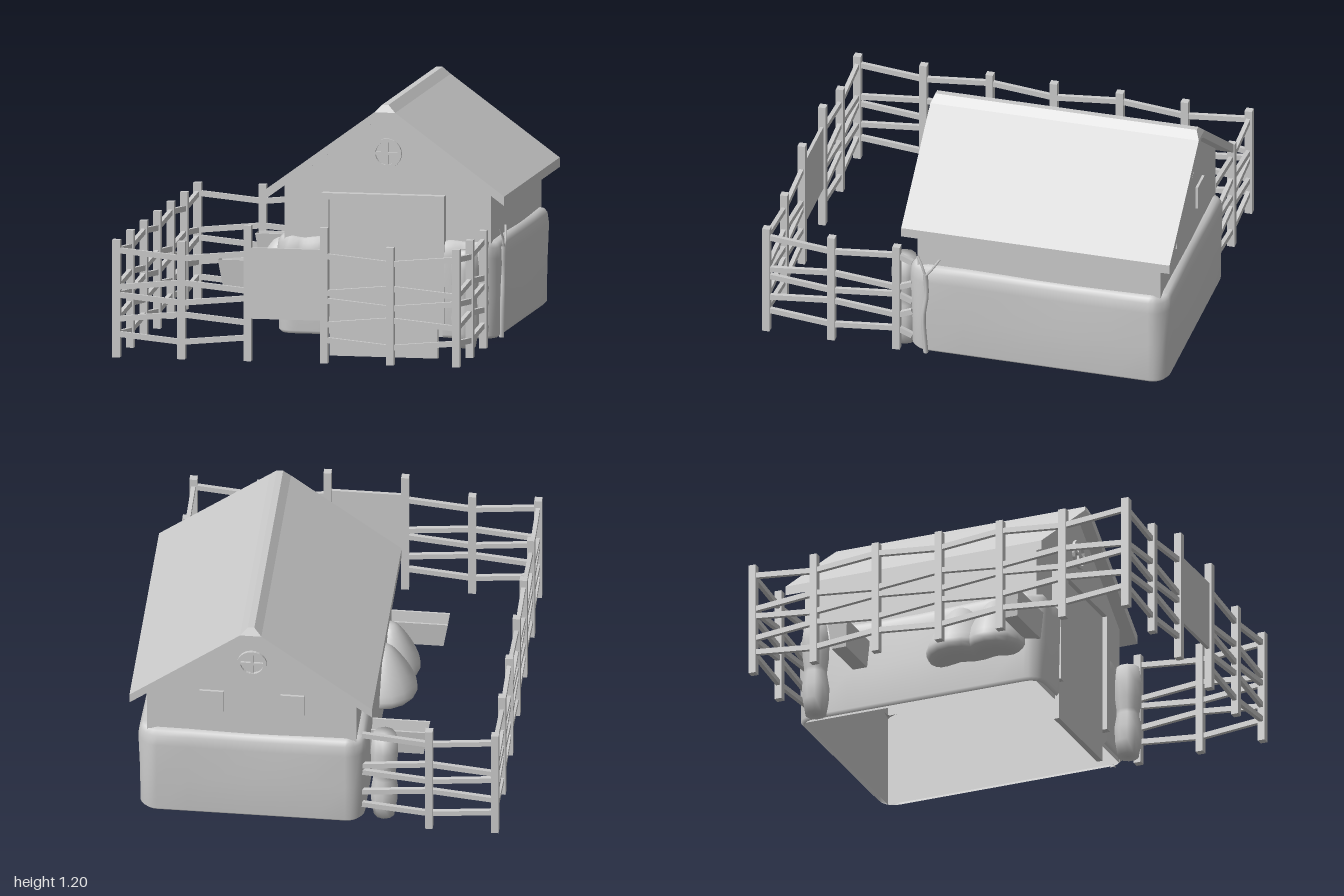
import * as THREE from 'three';

const grey = new THREE.MeshStandardMaterial({ color: 0xcccccc });
const shell = new THREE.MeshStandardMaterial({ color: 0xcccccc, side: THREE.DoubleSide });

export function createModel() {
  const model = new THREE.Group();
  const add = (name, geo, x = 0, y = 0, z = 0, parent = model, mat = grey) => {
    const m = new THREE.Mesh(geo, mat);
    m.name = name;
    m.position.set(x, y, z);
    parent.add(m);
    return m;
  };
  // box from its two extreme corners
  const box = (name, x0, x1, y0, y1, z0, z1, parent) =>
    add(name, new THREE.BoxGeometry(x1 - x0, y1 - y0, z1 - z0), (x0 + x1) / 2, (y0 + y1) / 2, (z0 + z1) / 2, parent);
  const group = (name) => {
    const g = new THREE.Group();
    g.name = name;
    model.add(g);
    return g;
  };
  const poly = (pts) => new THREE.Shape(pts.map(([x, y]) => new THREE.Vector2(x, y)));
  const mid = 0.29;

  // barn walls: open-bottomed shell
  const walls = group('barnWalls');
  const gable = new THREE.ShapeGeometry(poly([[-0.2, 0.1], [0.785, 0.1], [0.785, 0.8], [mid, 1.155], [-0.2, 0.8]]));
  add('frontGable', gable, 0, 0, 0.24, walls, shell);
  add('backGable', gable.clone().scale(-1, 1, 1).rotateY(Math.PI).scale(1, 1, 1), 0, 0, -0.935, walls, shell);
  for (const [name, x, turn] of [['leftWall', 0.785, 1], ['rightWall', -0.2, -1]])
    add(name, new THREE.PlaneGeometry(1.175, 0.7).rotateY(turn * Math.PI / 2), x, 0.45, -0.3475, walls, shell);

  // roof: chevron slab, ridge ends pulled in slightly
  const roofGeo = new THREE.ExtrudeGeometry(poly([
    [-0.28, 0.735], [mid - 0.03, 1.13], [mid, 1.145], [mid + 0.03, 1.13], [0.86, 0.735], [0.86, 0.78],
    [mid + 0.05, 1.16], [mid + 0.015, 1.195], [mid - 0.015, 1.195], [mid - 0.05, 1.16], [-0.28, 0.78]]),
    { depth: 1.3, bevelEnabled: false }).translate(0, 0, -1);
  const rp = roofGeo.attributes.position;
  for (let i = 0; i < rp.count; i++)
    if (rp.getY(i) > 1.18) rp.setZ(i, rp.getZ(i) > 0 ? 0.285 : -0.98);
  roofGeo.computeVertexNormals();
  add('roof', roofGeo);

  // rounded stone base wrapped round the walls, open at the door: [centre x, centre z, angle]
  const keys = [[0.56, 0.19, 0], [0.735, 0.19, 0], [0.735, 0.19, 1], [0.735, -0.885, 1], [0.735, -0.885, 2],
    [-0.15, -0.885, 2], [-0.15, -0.885, 3], [-0.15, 0.19, 3], [-0.15, 0.19, 4], [-0.01, 0.19, 4]];
  const profile = [[0.02, 0.1], [0.035, 0.115], [0.038, 0.3], [0.042, 0.48], [0.035, 0.53], [0.02, 0.55], [0, 0.555]];
  const pos = [], index = [], steps = 6, rows = profile.length;
  const columns = (keys.length - 1) * steps;
  for (let i = 0; i <= columns; i++) {
    const k = Math.min(Math.floor(i / steps), keys.length - 2);
    const t = i / steps - k;
    const [cx, cz, q] = keys[k].map((v, n) => v + (keys[k + 1][n] - v) * t);
    const a = q * Math.PI / 2;
    profile.forEach(([off, y], j) => {
      const wave = j > 2 ? Math.sin(i * 1.1) * 0.004 : 0;
      const r = 0.05 + off + (off > 0 ? wave : 0);
      pos.push(cx + Math.sin(a) * r, y + wave, cz + Math.cos(a) * r);
      if (i < columns && j < rows - 1) {
        const b = i * rows + j;
        index.push(b, b + rows, b + rows + 1, b, b + rows + 1, b + 1);
      }
    });
  }
  const baseGeo = new THREE.BufferGeometry();
  baseGeo.setAttribute('position', new THREE.Float32BufferAttribute(pos, 3));
  baseGeo.setIndex(index);
  baseGeo.computeVertexNormals();
  add('stoneBase', baseGeo, 0, 0, 0, model, shell);

  // door and its frame
  const door = group('door');
  box('doorPanel', 0.02, 0.535, 0, 0.74, 0.235, 0.262, door);
  box('frameRight', -0.015, 0.02, 0.185, 0.77, 0.235, 0.285, door);
  box('frameLeft', 0.535, 0.57, 0.16, 0.77, 0.235, 0.285, door);
  box('frameTop', 0.02, 0.535, 0.74, 0.77, 0.235, 0.285, door);

  // round gable windows: ring with cross bars
  for (const z of [0.242, -0.937]) {
    const w = group('roundWindow');
    w.position.set(mid, 0.96, z);
    const ring = new THREE.Shape().absarc(0, 0, 0.07, 0, Math.PI * 2);
    ring.holes.push(new THREE.Path().absarc(0, 0, 0.054, 0, Math.PI * 2, true));
    add('windowRing', new THREE.ExtrudeGeometry(ring, { depth: 0.024, bevelEnabled: false, curveSegments: 12 }), 0, 0, -0.012, w);
    box('windowBar', -0.055, 0.055, -0.006, 0.006, -0.009, 0.009, w);
    box('windowBar', -0.006, 0.006, -0.055, 0.055, -0.009, 0.009, w);
  }
  // square back windows
  for (const s of [-1, 1])
    box('backWindow', mid + s * 0.19 - 0.057, mid + s * 0.19 + 0.057, 0.675, 0.79, -0.947, -0.93);

  // fence: posts with tilted rails between them
  const fence = group('fence');
  const post = (x, z, top = 0.625) => box('fencePost', x - 0.018, x + 0.018, 0.07, top, z - 0.018, z + 0.018, fence);
  const railHeights = [0.56, 0.415, 0.35, 0.265, 0.165];
  let section = 0;
  const rails = ([x0, z0], [x1, z1]) => {
    const len = Math.hypot(x1 - x0, z1 - z0);
    const flip = section++ % 2 ? -1 : 1;
    railHeights.forEach((y, i) => {
      const tilt = flip * (i % 2 ? 0.03 : -0.03);
      const rail = add('fenceRail', new THREE.BoxGeometry(Math.hypot(len, tilt), 0.026, 0.02),
        (x0 + x1) / 2, y, (z0 + z1) / 2, fence);
      rail.rotation.order = 'YZX';
      rail.rotation.y = Math.atan2(z0 - z1, x1 - x0);
      rail.rotation.z = Math.atan2(tilt, len);
    });
  };
  const runs = [
    [[-0.225, -0.92], [-0.54, -0.92], [-0.85, -0.92], [-0.85, -0.61], [-0.85, -0.295], [-0.85, 0.025],
      [-0.85, 0.335], [-0.85, 0.655], [-0.85, 0.975], [-0.54, 0.975], [-0.225, 0.975]],
    [[0.14, 0.975], [0.455, 0.975], [0.77, 0.975], [0.77, 0.66], [0.77, 0.345], [0.77, 0.27]]];
  for (const run of runs)
    run.forEach((p, i) => {
      const atWall = (p[0] === -0.225 && p[1] < 0) || p[1] === 0.27;
      const atGate = p[1] > 0.9 && (p[0] === -0.225 || p[0] === 0.14);
      if (!atWall) post(p[0], p[1], atGate ? 0.71 : 0.625);
      if (i) rails(run[i - 1], p);
    });
  box('gate', -0.207, 0.122, 0.27, 0.605, 0.967, 0.983);

  // stacked barrels
  const barrel = [[0, 0.07], [0.05, 0.07], [0.062, 0.14], [0.066, 0.21], [0.055, 0.28], [0.055, 0.3],
    [0.063, 0.36], [0.066, 0.44], [0.055, 0.525], [0, 0.525]].map(([r, y]) => new THREE.Vector2(r, y));
  for (const [x, z] of [[-0.32, -0.83], [0.68, 0.33]])
    add('barrel', new THREE.LatheGeometry(barrel, 10), x, 0, z);

  // feeding troughs: flared open boxes on the wall
  for (const z of [-0.64, 0.23]) {
    const geo = new THREE.ExtrudeGeometry(
      poly([[-0.05, 0.44], [-0.036, 0.31], [0.036, 0.31], [0.05, 0.44], [0.041, 0.44], [0.028, 0.325], [-0.028, 0.325], [-0.041, 0.44]]),
      { depth: 0.3, bevelEnabled: false }).rotateY(Math.PI / 2);
    const p = geo.attributes.position;
    for (let i = 0; i < p.count; i++)
      if (p.getX(i) < 0.1 && p.getY(i) < 0.4) p.setX(i, 0.022);
    geo.computeVertexNormals();
    const trough = group('trough');
    trough.position.set(-0.51, 0, z);
    add('troughBody', geo, 0, 0, 0, trough);
    const end = add('troughEnd', new THREE.ShapeGeometry(poly([[-0.05, 0.44], [-0.036, 0.31], [0.036, 0.31], [0.05, 0.44]]))
      .rotateY(-Math.PI / 2), 0, 0, 0, trough, shell);
    const e = end.geometry.attributes.position;
    for (let i = 0; i < e.count; i++) if (e.getY(i) < 0.4) e.setX(i, 0.022);
    end.geometry.computeVertexNormals();
  }

  // hay heaps against the wall
  const heap = new THREE.SplineCurve([[0.0, 0.25], [0.6, 0.24], [0.97, 0.28], [0.85, 0.36], [0.55, 0.45], [0.25, 0.51], [0, 0.525]]
    .map(([r, y]) => new THREE.Vector2(r, y))).getPoints(18).map((v) => new THREE.Vector2(Math.max(v.x, 0), v.y));
  for (const [x, z, r] of [[-0.235, -0.125, 0.17], [-0.25, 0.055, 0.15]])
    add('hayHeap', new THREE.LatheGeometry(heap, 16).scale(r, 1, r), x, 0, z);

  // bare forked twig climbing the base
  const twig = group('twig');
  const stems = [
    [[0.825, 0.1, 0.19], [0.832, 0.3, 0.2], [0.83, 0.42, 0.185], [0.835, 0.53, 0.19]],
    [[0.835, 0.52, 0.19], [0.835, 0.57, 0.205], [0.825, 0.62, 0.23]],
    [[0.835, 0.52, 0.19], [0.838, 0.56, 0.16], [0.83, 0.62, 0.12]]];
  stems.forEach((pts, i) => add('twigStem', new THREE.TubeGeometry(
    new THREE.CatmullRomCurve3(pts.map((p) => new THREE.Vector3(...p))), 10, i ? 0.006 : 0.012, 6), 0, 0, 0, twig));

  return model;
}
